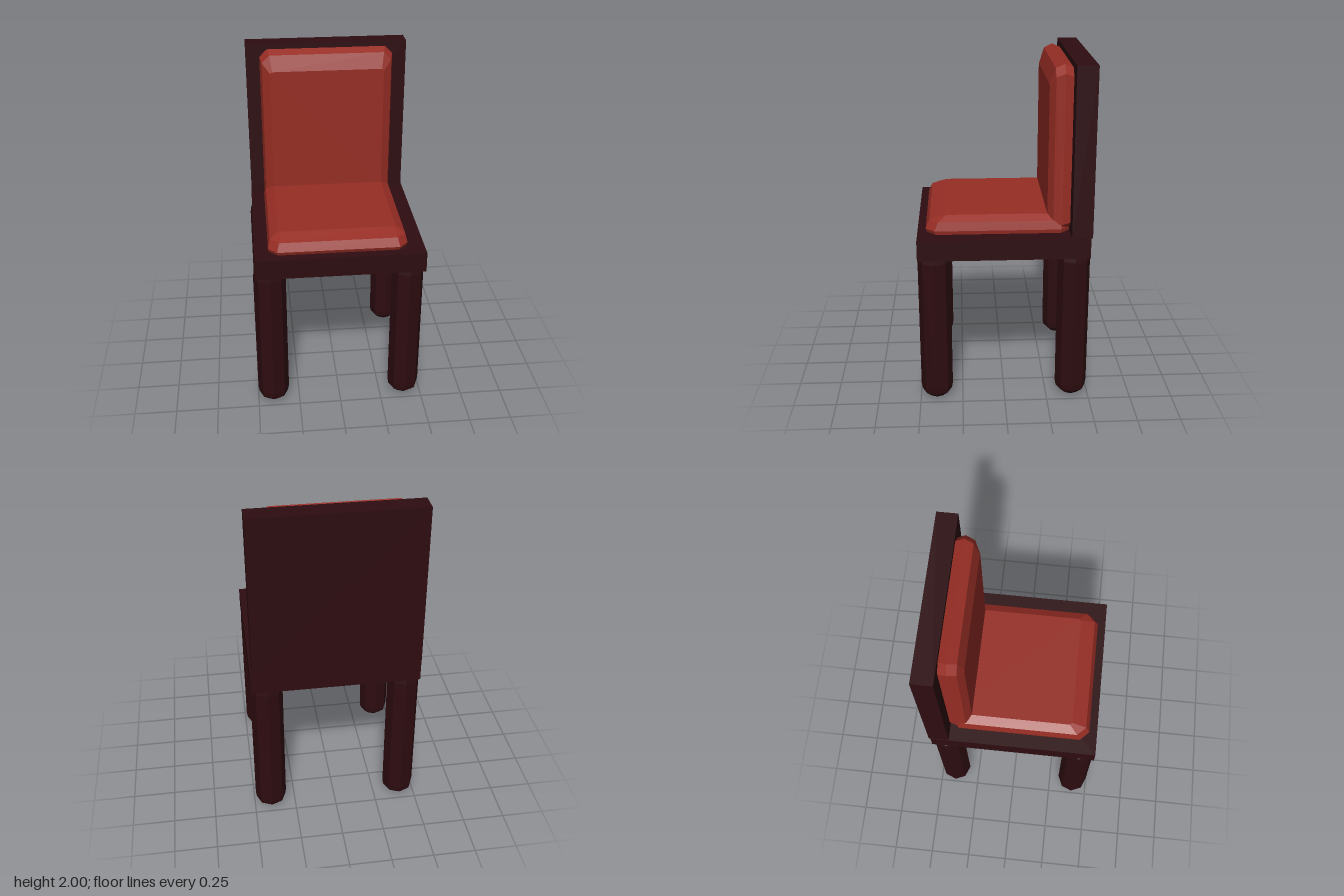
import * as THREE from 'three';

const wood = new THREE.MeshStandardMaterial({ name: 'dark wood', color: 0x2d0c10, flatShading: true });
const fabric = new THREE.MeshStandardMaterial({ name: 'red fabric', color: 0x962d24, flatShading: true });

// Lofted pad facing +z; each ring is [z, x half width, y bottom, y top, corner cut]
function padGeometry(rings) {
  const loops = rings.map(([z, w, b, t, c]) => [
    [w, b + c, z], [w, t - c, z], [w - c, t, z], [c - w, t, z],
    [-w, t - c, z], [-w, b + c, z], [c - w, b, z], [w - c, b, z],
  ]);
  const points = [];
  for (let r = 0; r < loops.length - 1; r++) {
    for (let i = 0; i < 8; i++) {
      const j = (i + 1) % 8;
      const [a, b, c, d] = [loops[r][i], loops[r][j], loops[r + 1][j], loops[r + 1][i]];
      points.push(...a, ...b, ...c, ...a, ...c, ...d);
    }
  }
  const first = loops[0], last = loops[loops.length - 1];
  for (let i = 1; i < 7; i++) {
    points.push(...last[0], ...last[i], ...last[i + 1]);
    points.push(...first[0], ...first[i + 1], ...first[i]);
  }
  const geometry = new THREE.BufferGeometry();
  geometry.setAttribute('position', new THREE.Float32BufferAttribute(points, 3));
  geometry.computeVertexNormals();
  return geometry;
}

export function createModel() {
  const model = new THREE.Group();
  model.name = 'chair';
  const add = (name, geometry, material, x = 0, y = 0, z = 0) => {
    const mesh = new THREE.Mesh(geometry, material);
    mesh.name = name;
    mesh.position.set(x, y, z);
    model.add(mesh);
    return mesh;
  };

  // Wooden slabs
  add('seatBoard', new THREE.BoxGeometry(0.978, 0.12, 0.98), wood, 0.001, 0.968, 0.005);
  add('backBoard', new THREE.BoxGeometry(0.966, 0.974, 0.118), wood, -0.003, 1.513, -0.436);

  // Eight-sided legs with rounded feet
  const profile = [[0, 0.005], [0.05, 0.01], [0.088, 0.045], [0.094, 0.08], [0.094, 0.88], [0.088, 0.915], [0, 0.93]]
    .map(([r, y]) => new THREE.Vector2(r, y));
  const legGeometry = new THREE.LatheGeometry(profile, 8);
  for (const [side, x] of [['Right', -0.406], ['Left', 0.398]]) {
    for (const [end, z] of [['front', 0.403], ['back', -0.401]]) {
      add(`${end}${side}Leg`, legGeometry, wood, x, 0, z);
    }
  }

  // Seat cushion, lofted upwards
  const seatPad = padGeometry([
    [1.02, 0.395, -0.435, 0.375, 0.05],
    [1.05, 0.4, -0.447, 0.375, 0.05],
    [1.1, 0.388, -0.425, 0.375, 0.05],
    [1.127, 0.338, -0.34, 0.375, 0.012],
  ]);
  seatPad.rotateX(-Math.PI / 2);
  add('seatCushion', seatPad, fabric, -0.008);

  // Back cushion, lofted forwards
  add('backCushion', padGeometry([
    [-0.38, 0.385, 1.04, 1.965, 0.045],
    [-0.33, 0.397, 1.03, 1.985, 0.045],
    [-0.28, 0.385, 1.05, 1.962, 0.045],
    [-0.25, 0.338, 1.12, 1.87, 0.012],
  ]), fabric, -0.007);

  return model;
}
